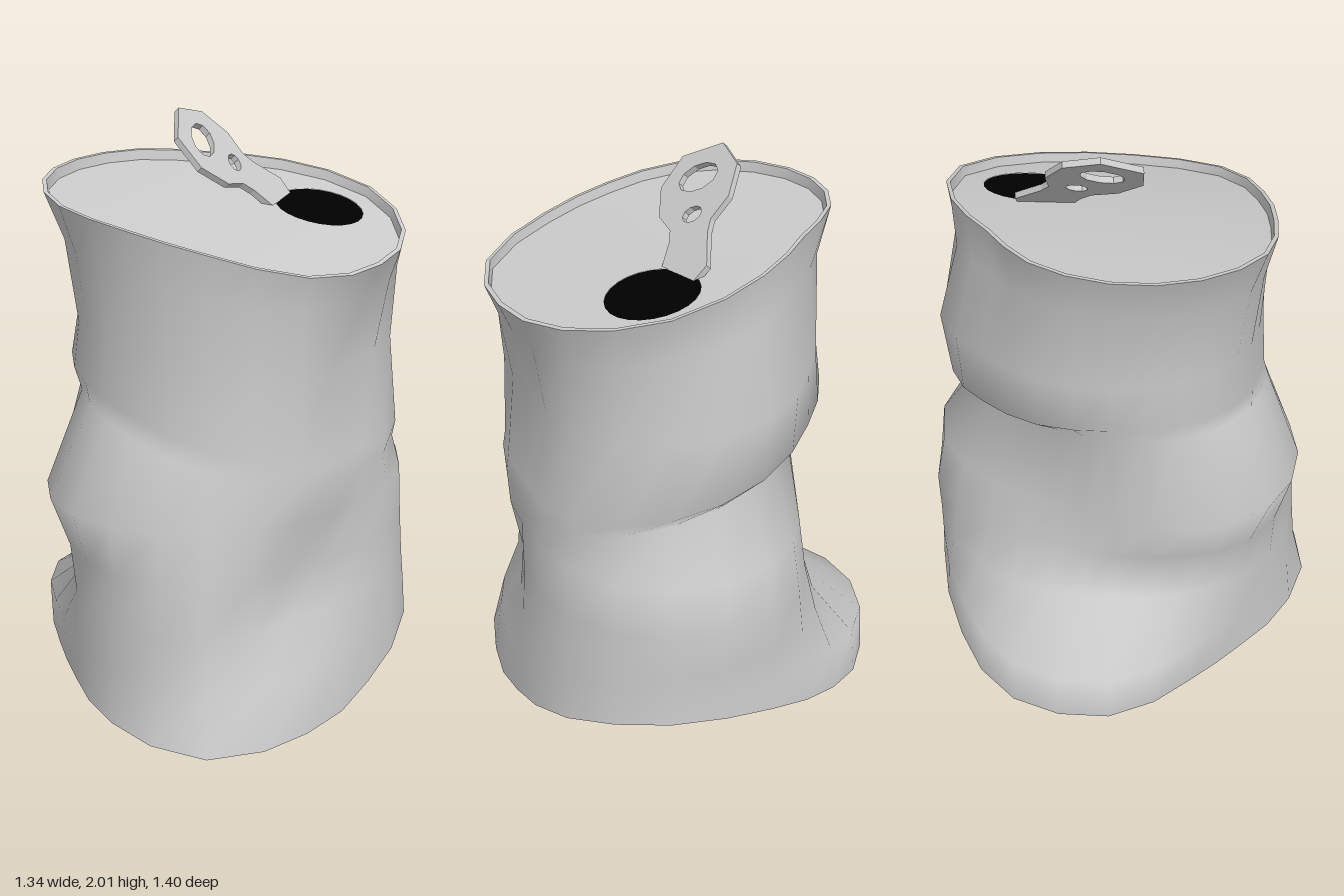
import * as THREE from 'three';

const SEGMENTS = 24;

// A crumpled cross-section: height, twelve radii (every 30 degrees from +x towards +z), tilt in x and z, bend in x
const ring = (y, r, tx = 0, tz = 0, bend = 0) => ({ y, r, tx, tz, bend });

const bottom = ring(0.01, [.66, .69, .78, .65, .54, .55, .67, .7, .665, .685, .745, .73], -0.03);
const top = ring(1.73, [.655, .645, .545, .515, .555, .56, .545, .515, .48, .565, .68, .68], -0.175, -0.035, -0.1);
const wall = [
  bottom,
  ring(0.20, [.645, .66, .71, .63, .54, .56, .67, .69, .65, .68, .74, .72]), // flared foot
  ring(0.37, [.62, .57, .68, .62, .53, .45, .41, .46, .58, .68, .74, .71]),
  ring(0.55, [.61, .55, .67, .61, .55, .44, .39, .41, .53, .685, .74, .7]), // dented front corner
  ring(0.74, [.61, .61, .62, .64, .62, .53, .42, .41, .5, .65, .73, .69]),
  ring(0.99, [.605, .62, .58, .5, .46, .44, .41, .38, .42, .52, .6, .66], -0.22, 0.03), // pinched fold
  ring(1.06, [.6, .61, .56, .485, .475, .475, .475, .5, .52, .6, .66, .67], -0.24, 0.03), // lip over the fold
  ring(1.28, [.55, .6, .54, .475, .46, .45, .45, .48, .515, .63, .67, .64], -0.1),
  ring(1.56, [.61, .61, .53, .49, .5, .49, .49, .475, .46, .555, .64, .655], -0.15, -0.02),
  top,
];

// Smooth periodic interpolation of the radii
function radiusAt(r, t) {
  const n = r.length, i = Math.floor(t), f = t - i;
  const [a, b, c, d] = [-1, 0, 1, 2].map((k) => r[(i + k + n) % n]);
  return b + 0.5 * f * (c - a + f * (2 * a - 5 * b + 4 * c - d + f * (3 * (b - c) + d - a)));
}

const heightAt = ({ y, tx, tz, bend }, x, z) => y + tx * x + tz * z + bend * x * x;

// Points of one ring, optionally moved inward and up
function ringPoints(section, inset = 0, raise = 0) {
  return Array.from({ length: SEGMENTS }, (_, j) => {
    const angle = (j / SEGMENTS) * Math.PI * 2;
    // The rear of the base is bent upwards
    const rear = Math.max(0, Math.cos(angle - (Math.PI * 5) / 3)) ** 2;
    const lift = 0.22 * rear * Math.max(0, 1 - section.y / 0.45);
    const radius = radiusAt(section.r, (j / SEGMENTS) * section.r.length) - inset;
    const x = radius * Math.cos(angle), z = radius * Math.sin(angle);
    return new THREE.Vector3(x, heightAt(section, x, z) + lift + raise, z);
  });
}

// Skin over a stack of rings
function loft(rings) {
  const index = [];
  for (let i = 0; i < rings.length - 1; i++) {
    for (let j = 0; j < SEGMENTS; j++) {
      const a = i * SEGMENTS + j, b = i * SEGMENTS + ((j + 1) % SEGMENTS);
      index.push(a, a + SEGMENTS, b, b, a + SEGMENTS, b + SEGMENTS);
    }
  }
  const geometry = new THREE.BufferGeometry().setFromPoints(rings.flat());
  geometry.setIndex(index);
  geometry.computeVertexNormals();
  return geometry;
}

// Flat outline in x/z laid onto the slanted lid
function layOnLid(shape, drop) {
  const geometry = new THREE.ShapeGeometry(shape).rotateX(-Math.PI / 2);
  const p = geometry.attributes.position;
  for (let i = 0; i < p.count; i++) p.setY(i, heightAt(top, p.getX(i), p.getZ(i)) - drop);
  geometry.computeVertexNormals();
  return geometry;
}

function createTab() {
  // Half width against distance along the tab, mirrored
  const half = [[.05, 0], [.1, .05], [.08, .18], [.085, .23], [.145, .3], [.16, .42], [.085, .525]];
  const outline = [...half, ...half.map(([u, v]) => [-u, v]).reverse()];
  const shape = new THREE.Shape(outline.map(([u, v]) => new THREE.Vector2(u, v)));
  // Finger hole and rivet hole
  for (const [v, rx, ry] of [[.415, .082, .053], [.27, .04, .03]]) {
    const hole = new THREE.Path();
    hole.absellipse(0, v, rx, ry, 0, Math.PI * 2, true);
    shape.holes.push(hole);
  }
  const geometry = new THREE.ExtrudeGeometry(shape, { depth: 0.022, bevelEnabled: false, curveSegments: 5 });
  const normal = new THREE.Vector3(0.73, 0.68, -0.05).normalize();
  const along = new THREE.Vector3(-0.5, 0.6, 0.62).projectOnPlane(normal).normalize();
  const across = new THREE.Vector3().crossVectors(along, normal);
  return geometry.applyMatrix4(
    new THREE.Matrix4().makeBasis(across, along, normal).setPosition(0.145, 1.64, -0.315));
}

export function createModel() {
  const group = new THREE.Group();
  const grey = new THREE.MeshStandardMaterial({ color: 0xcccccc, side: THREE.DoubleSide });
  const black = new THREE.MeshStandardMaterial({ color: 0x000000, side: THREE.DoubleSide });
  const add = (name, geometry, material = grey) => {
    const mesh = new THREE.Mesh(geometry, material);
    mesh.name = name;
    group.add(mesh);
  };

  // Crushed wall
  add('body', loft(wall.map((section) => ringPoints(section))));

  // Top rim: thin flat edge, then the inner wall down to the lid
  add('topRimEdge', loft([ringPoints(top), ringPoints(top, 0.015)]));
  add('topRimInside', loft([ringPoints(top, 0.015), ringPoints(top, 0.022, -0.035)]));

  // Lid with the drinking opening, built as strips that shrink to the opening's outline
  const opening = new THREE.EllipseCurve(0.265, -0.325, 0.15, 0.17).getPoints(SEGMENTS).slice(0, SEGMENTS);
  const lidEdge = ringPoints(top, 0.022, -0.035);
  const lidStrips = [0, 0.25, 0.5, 0.75, 1].map((t) => lidEdge.map((p, j) => {
    const x = THREE.MathUtils.lerp(p.x, opening[j].x, t), z = THREE.MathUtils.lerp(p.z, opening[j].y, t);
    return new THREE.Vector3(x, heightAt(top, x, z) - 0.035, z);
  }));
  add('lid', loft(lidStrips));
  const openingShape = new THREE.Shape(opening.map((p) => new THREE.Vector2(p.x, -p.y)));
  add('opening', layOnLid(openingShape, 0.036), black);

  // Base: lip, recess wall and plate
  const centre = Array.from({ length: SEGMENTS }, () => new THREE.Vector3(0, 0.1, 0));
  const plateEdge = ringPoints(bottom, 0.025, 0.025);
  add('baseLip', loft([ringPoints(bottom, 0.02), ringPoints(bottom)]));
  add('baseRecess', loft([plateEdge, ringPoints(bottom, 0.02)]));
  add('basePlate', loft([centre, plateEdge]));

  add('pullTab', createTab());
  return group;
}
